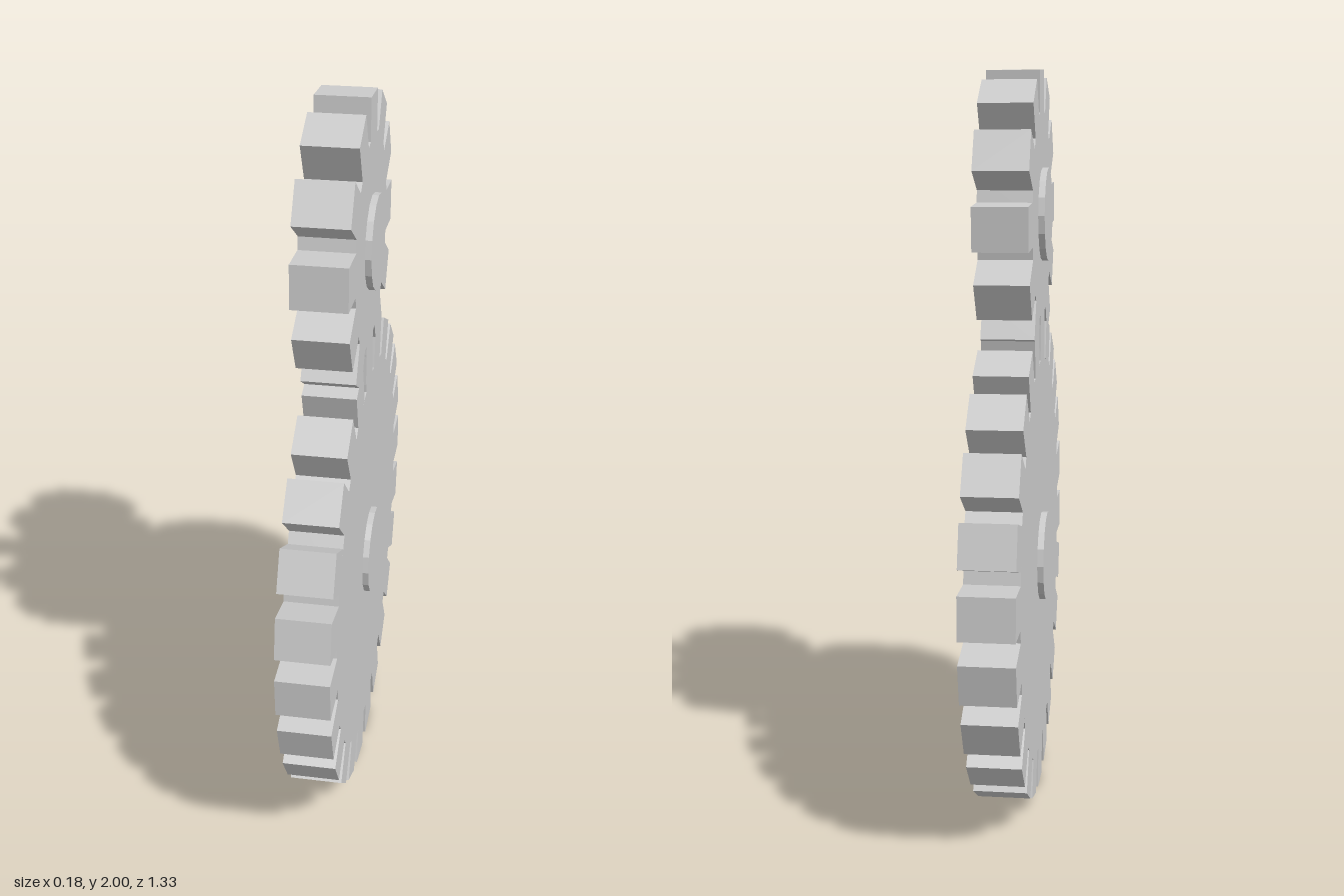
import * as THREE from 'three';

const DEG = Math.PI / 180;
const THICK = 0.142;

// Disc whose axis runs along local z
function disc(radius, depth, material, name) {
  const geometry = new THREE.CylinderGeometry(radius, radius, depth, 16);
  geometry.rotateX(Math.PI / 2);
  const mesh = new THREE.Mesh(geometry, material);
  mesh.name = name;
  return mesh;
}

// Gear in the local xy plane: body, hub and a ring of block teeth
function gear(name, { bodyRadius, tipRadius, teeth, offset }, material) {
  const group = new THREE.Group();
  group.name = name;
  group.add(disc(bodyRadius, THICK, material, 'gearBody'));
  group.add(disc(0.124, 0.176, material, 'hub'));

  const length = 0.112;
  const toothGeometry = new THREE.BoxGeometry(length, 0.112, THICK);
  toothGeometry.translate(tipRadius - length / 2, 0, 0);
  for (let i = 0; i < teeth; i++) {
    const tooth = new THREE.Mesh(toothGeometry, material);
    tooth.name = 'tooth';
    tooth.rotation.z = (i / teeth) * Math.PI * 2 + offset * DEG;
    group.add(tooth);
  }
  return group;
}

export function createModel() {
  const model = new THREE.Group();
  model.name = 'gearPair';
  const grey = new THREE.MeshStandardMaterial({ color: 0xcccccc, flatShading: true });
  grey.name = 'light grey';

  const large = gear('largeGear',
    { bodyRadius: 0.566, tipRadius: 0.666, teeth: 24, offset: 1.8 }, grey);
  large.position.y = 0.668;

  const small = gear('smallGear',
    { bodyRadius: 0.28, tipRadius: 0.378, teeth: 12, offset: -4 }, grey);
  small.position.y = 1.619;

  // Turn both gears so their axles lie along x
  for (const g of [large, small]) {
    g.rotation.y = Math.PI / 2;
    model.add(g);
  }
  return model;
}
